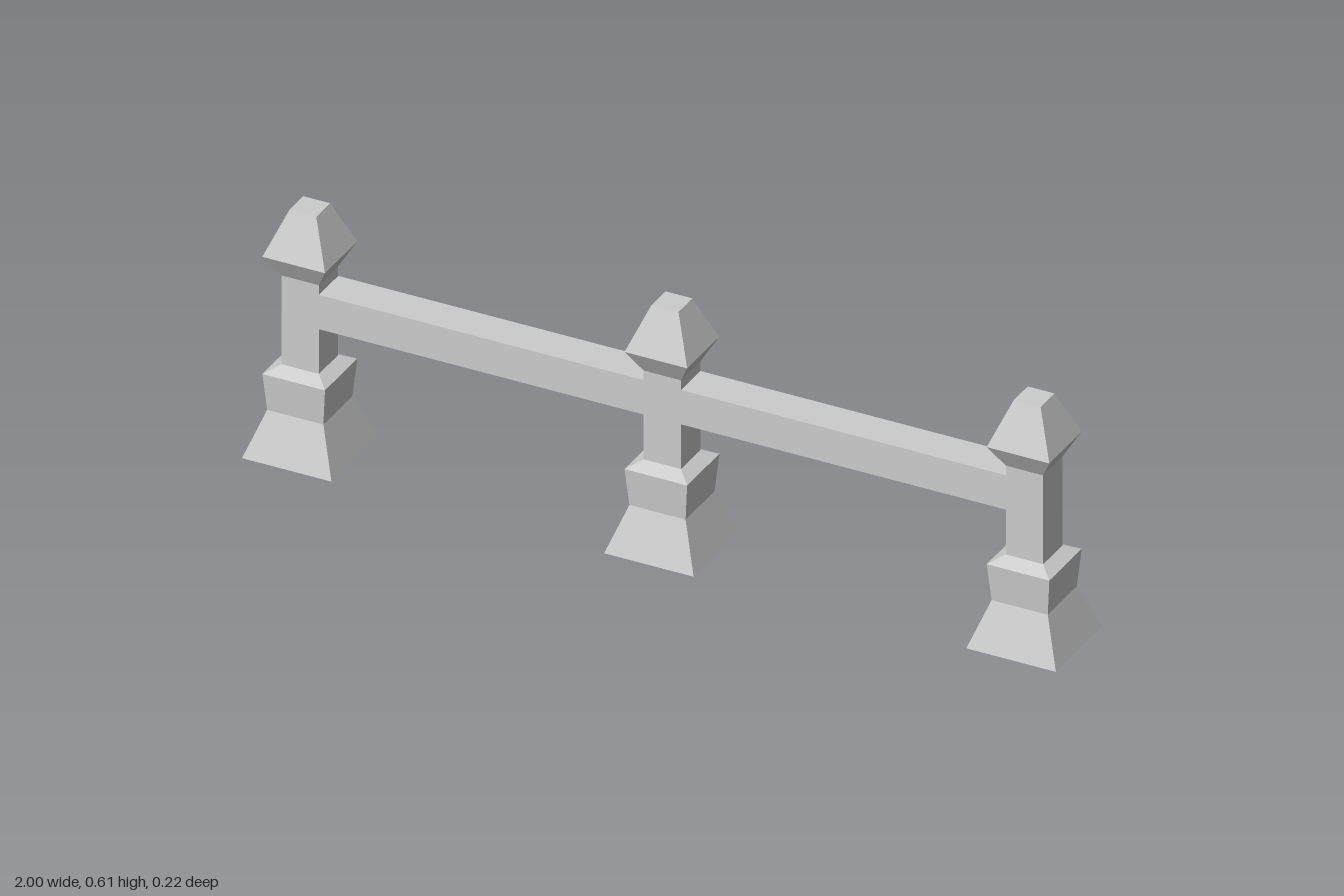
import * as THREE from 'three';

export function createModel() {
  const group = new THREE.Group();
  const material = new THREE.MeshStandardMaterial({
    color: 0xcccccc, flatShading: true, side: THREE.DoubleSide,
  });
  const postSpacing = 0.89;
  const postHalf = 0.046;

  // Square post: [half width, height] from the open foot to the closed cap
  const profile = [
    [0.11, 0], [0.069, 0.112], [0.077, 0.205], [postHalf, 0.222],
    [postHalf, 0.447], [0.077, 0.502], [0.033, 0.61], [0, 0.61],
  ].map(([half, y]) => new THREE.Vector2(half * Math.SQRT2, y));
  const postGeometry = new THREE.LatheGeometry(profile, 4, Math.PI / 4);

  ['rightPost', 'middlePost', 'leftPost'].forEach((name, i) => {
    const post = new THREE.Mesh(postGeometry, material);
    post.name = name;
    post.position.x = (i - 1) * postSpacing;
    group.add(post);
  });

  // Rails span the gaps between posts, flush with the post faces
  const railGeometry = new THREE.BoxGeometry(postSpacing - 2 * postHalf, 0.087, 2 * postHalf);
  for (const side of [-1, 1]) {
    const rail = new THREE.Mesh(railGeometry, material);
    rail.name = side < 0 ? 'rightRail' : 'leftRail';
    rail.position.set(side * postSpacing / 2, 0.379, 0);
    group.add(rail);
  }

  return group;
}
